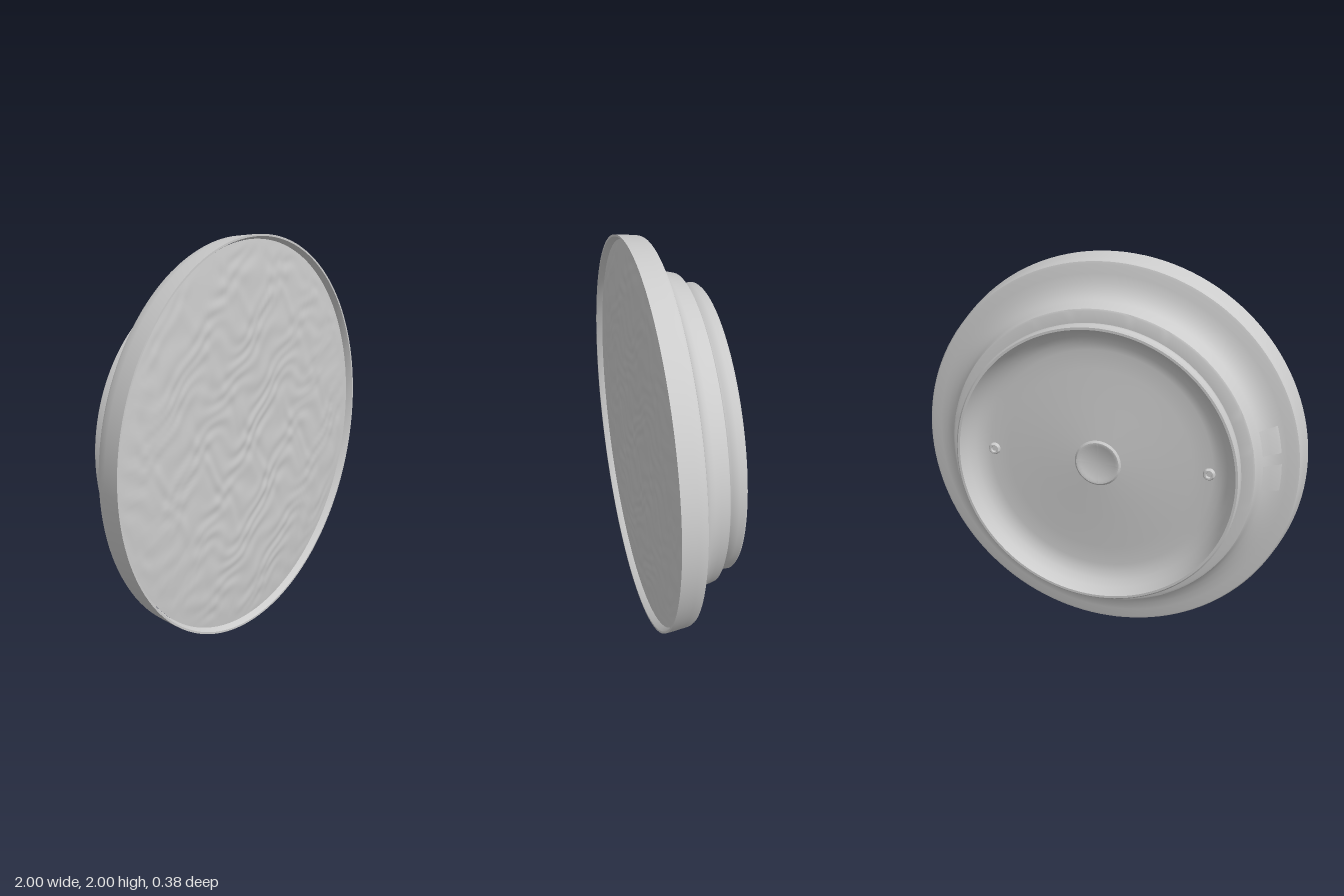
import * as THREE from 'three';
import { mergeVertices, toCreasedNormals } from 'three/addons/utils/BufferGeometryUtils.js';

const material = new THREE.MeshStandardMaterial({ color: 0xcccccc });

// Revolve [radius, z] pairs about the z axis; start and length are angles in the xy plane.
function revolve(name, pairs, segments = 128, start = 0, length = Math.PI * 2) {
  const points = pairs.map(([r, z]) => new THREE.Vector2(r, z));
  const geometry = new THREE.LatheGeometry(points, segments, start, length);
  geometry.rotateX(Math.PI / 2);
  const mesh = new THREE.Mesh(toCreasedNormals(geometry, 0.6), material);
  mesh.name = name;
  return mesh;
}

// Irregular wavy relief made of warped sines
function ripple(x, y) {
  const u = x + 0.07 * Math.sin(7 * y + 1) + 0.04 * Math.sin(17 * x + 11 * y);
  const v = y + 0.06 * Math.sin(9 * x + 2) + 0.04 * Math.sin(13 * y - 15 * x);
  return (Math.sin(38 * v + 17 * u) + Math.sin(61 * v - 29 * u + 2) + 0.7 * Math.sin(47 * u + 23 * v)) / 2.7;
}

// Slightly domed front panel with the rippled surface
function frontPanel() {
  const radius = 0.975;
  const geometry = new THREE.RingGeometry(0, radius, 180, 100);
  const pos = geometry.attributes.position;
  for (let i = 0; i < pos.count; i++) {
    const x = pos.getX(i), y = pos.getY(i);
    const t = Math.hypot(x, y) / radius;
    const fade = Math.min(1, (1 - t) * 12);
    pos.setZ(i, 0.186 - 0.026 * t ** 4 + 0.0035 * fade * ripple(x, y));
  }
  geometry.deleteAttribute('uv');
  geometry.deleteAttribute('normal');
  const smooth = mergeVertices(geometry, 1e-5);
  smooth.computeVertexNormals();
  const mesh = new THREE.Mesh(smooth, material);
  mesh.name = 'frontPanel';
  return mesh;
}

export function createModel() {
  const group = new THREE.Group();
  group.name = 'roundLamp';

  // Rim, cove and shoulder of the housing, with its inner lip
  group.add(revolve('housing', [
    [0.7, -0.095], [0.775, -0.095], [0.785, -0.09], [0.79, -0.075], [0.797, -0.045], [0.805, -0.015],
    [0.82, 0.007], [0.845, 0.028], [0.88, 0.044], [0.92, 0.054], [0.965, 0.06],
    [0.978, 0.064], [0.985, 0.076], [0.99, 0.11], [0.997, 0.16], [1, 0.19],
    [0.99, 0.19], [0.984, 0.18], [0.975, 0.158],
  ]));

  // Mounting ring and dished back plate, with a raised disc at the centre
  group.add(revolve('backPlate', [
    [0, -0.122], [0.09, -0.121], [0.1, -0.126], [0.11, -0.126], [0.12, -0.117],
    [0.3, -0.104], [0.48, -0.09], [0.58, -0.086], [0.62, -0.092], [0.655, -0.11],
    [0.685, -0.14], [0.703, -0.175], [0.71, -0.19], [0.722, -0.19], [0.73, -0.182],
    [0.73, -0.15], [0.724, -0.12], [0.712, -0.105], [0.71, -0.09],
  ]));

  // Screws left and right on the back plate
  for (const side of [-1, 1]) {
    const screw = revolve('screw', [
      [0, -0.008], [0.012, -0.008], [0.016, -0.018], [0.024, -0.018], [0.03, -0.01], [0.032, 0.01],
    ], 20);
    screw.position.set(side * 0.56, 0, -0.086);
    group.add(screw);
  }

  // Two thin patches lying on the cove, on the model's right side
  for (const y of [0.03, -0.16]) {
    const angle = -Math.PI / 2 + y / 0.84;
    group.add(revolve('covePatch', [
      [0.8, -0.01], [0.796, -0.018], [0.815, -0.004], [0.842, 0.018], [0.88, 0.035], [0.895, 0.05],
    ], 8, angle - 0.08, 0.16));
  }

  group.add(frontPanel());

  // Stand the disc on the floor
  for (const part of group.children) part.position.y += 1;
  return group;
}
